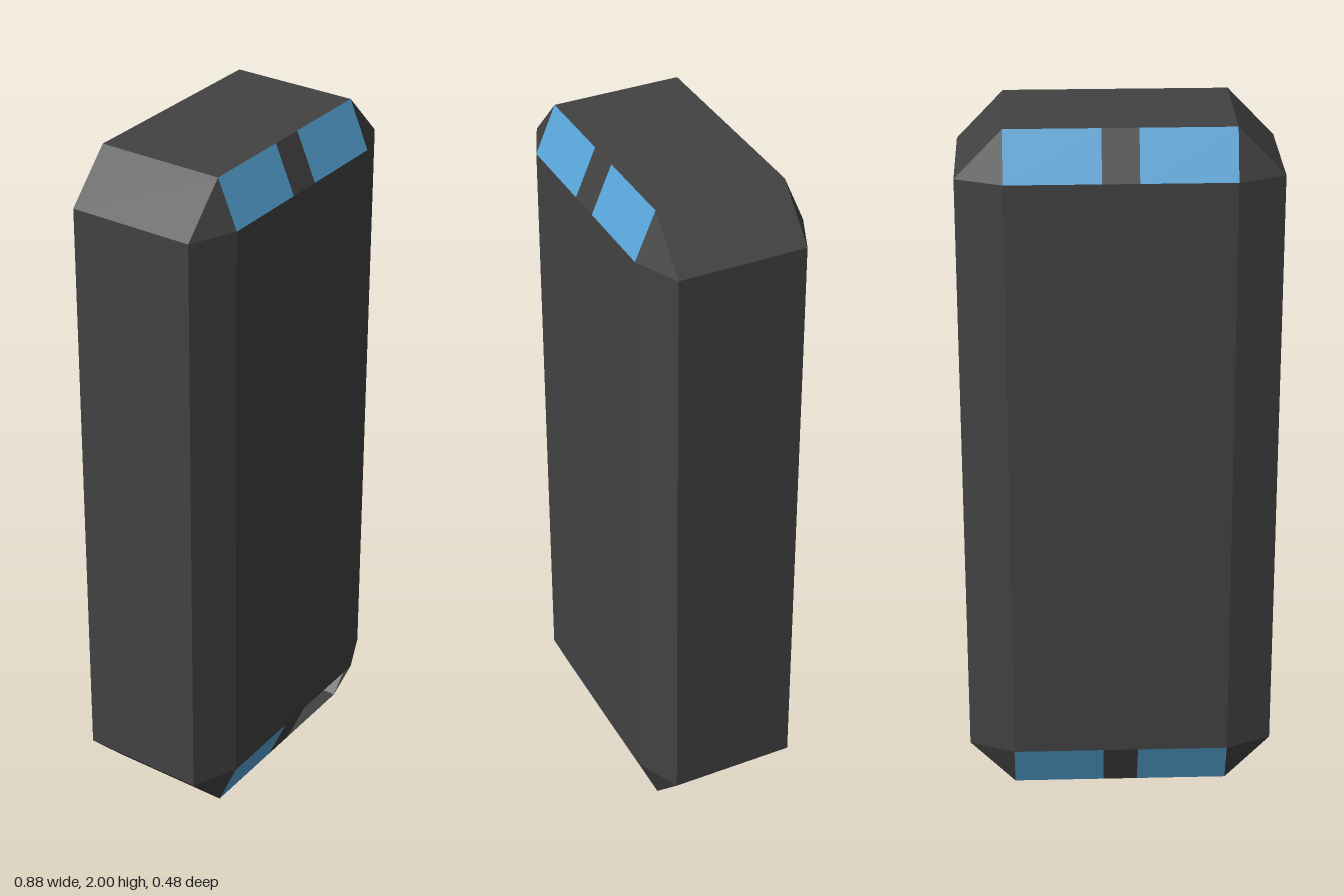
import * as THREE from 'three';

// Half sizes: outer extents, and the inset where the chamfers end
const X = 0.44, Z = 0.241, H = 1;
const xi = 0.31, zi = 0.183, hi = 0.865;
const GAP = 0.05; // half width of the dark gap between two blue panels

// Flat convex panels (corners relative to the centre), all wound outward
function panelGeometry(panels) {
  const pos = [];
  for (const panel of panels) {
    const p = panel.map((c) => new THREE.Vector3(...c));
    const n = p[1].clone().sub(p[0]).cross(p[2].clone().sub(p[0]));
    if (n.dot(p[0]) < 0) p.reverse();
    for (let i = 1; i < p.length - 1; i++) {
      for (const v of [p[0], p[i], p[i + 1]]) pos.push(v.x, v.y + H, v.z);
    }
  }
  const g = new THREE.BufferGeometry();
  g.setAttribute('position', new THREE.Float32BufferAttribute(pos, 3));
  g.computeVertexNormals();
  return g;
}

// Section of the sloped strip between a large face and a cap
const strip = (x0, x1, sy, sz) => [
  [x0, sy * hi, sz * Z], [x1, sy * hi, sz * Z], [x1, sy * H, sz * zi], [x0, sy * H, sz * zi],
];

export function createModel() {
  const group = new THREE.Group();
  const darkGrey = new THREE.MeshStandardMaterial({ color: 0x424242, side: THREE.DoubleSide });
  const blue = new THREE.MeshStandardMaterial({ color: 0x57a6d9, side: THREE.DoubleSide });
  darkGrey.name = 'darkGrey';
  blue.name = 'blue';

  const add = (name, panels, material) => {
    const mesh = new THREE.Mesh(panelGeometry(panels), material);
    mesh.name = name;
    group.add(mesh);
  };

  const faces = [], edges = [], corners = [], gaps = [], lights = [];
  for (const s of [-1, 1]) {
    // Large front/back faces, narrow sides, top/bottom caps
    faces.push([[-xi, -hi, s * Z], [xi, -hi, s * Z], [xi, hi, s * Z], [-xi, hi, s * Z]]);
    faces.push([[s * X, -hi, -zi], [s * X, hi, -zi], [s * X, hi, zi], [s * X, -hi, zi]]);
    faces.push([[-xi, s * H, -zi], [xi, s * H, -zi], [xi, s * H, zi], [-xi, s * H, zi]]);
    for (const t of [-1, 1]) {
      // Upright chamfers
      edges.push([[s * xi, -hi, t * Z], [s * X, -hi, t * zi], [s * X, hi, t * zi], [s * xi, hi, t * Z]]);
      // Chamfers from the sides to the caps
      edges.push([[s * X, t * hi, -zi], [s * X, t * hi, zi], [s * xi, t * H, zi], [s * xi, t * H, -zi]]);
      // Dark gap in the middle of each sloped strip
      gaps.push(strip(-GAP, GAP, s, t));
      for (const u of [-1, 1]) {
        // Corner triangles
        corners.push([[u * xi, s * hi, t * Z], [u * X, s * hi, t * zi], [u * xi, s * H, t * zi]]);
        // Blue panels; the lower front one on the +x side is an open slot
        const open = s < 0 && t > 0 && u > 0;
        if (!open) lights.push(strip(u * GAP, u * xi, s, t));
      }
    }
  }

  add('bodyFaces', faces, darkGrey);
  add('bodyChamfers', edges, darkGrey);
  add('bodyCorners', corners, darkGrey);
  add('panelGaps', gaps, darkGrey);
  add('bluePanels', lights, blue);
  return group;
}
